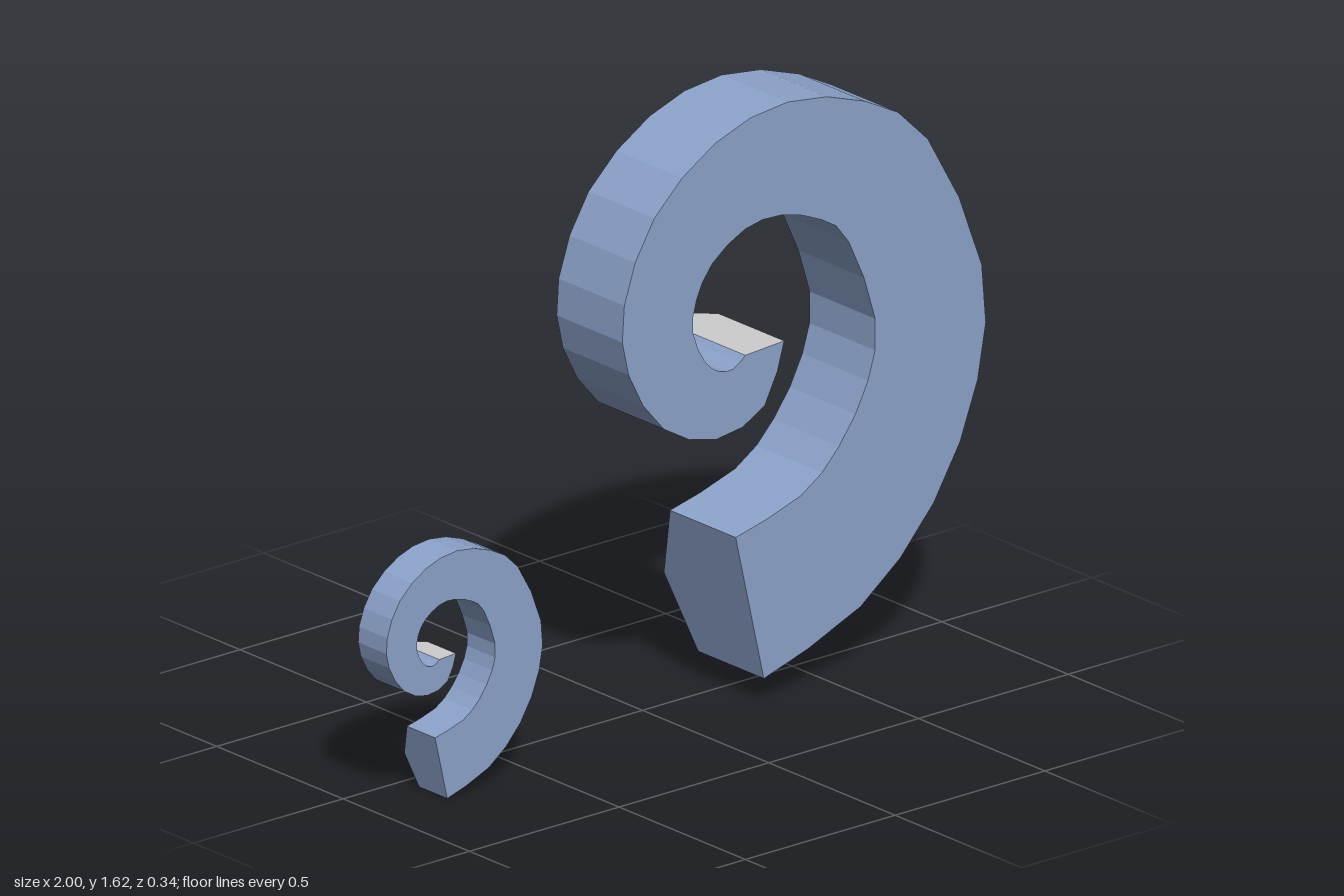
import * as THREE from 'three';

// Paired points along the spiral: outer x, outer y, inner x, inner y
const RAILS = [
  [0.262, 0.072, 0.168, 0.479], [0.585, 0.19, 0.385, 0.54], [0.83, 0.415, 0.513, 0.644],
  [0.976, 0.714, 0.61, 0.80], [0.99, 1.024, 0.634, 0.963], [0.81, 1.41, 0.545, 1.195],
  [0.60, 1.564, 0.457, 1.275], [0.34, 1.624, 0.32, 1.321], [0.10, 1.57, 0.2, 1.312],
  [-0.104, 1.414, 0.09, 1.244], [-0.204, 1.2, 0.037, 1.157], [-0.19, 1.008, 0.026, 1.07],
  [-0.072, 0.832, 0.064, 0.985], [0.104, 0.762, 0.112, 0.945], [0.265, 0.815, 0.16, 0.94],
  [0.33, 0.976, 0.2, 0.968],
];
const FRONT = 0.17, SHOULDER = -0.09, RIDGE = -0.17;
const SEGMENTS = 2 * (RAILS.length - 1);

const blue = new THREE.MeshStandardMaterial({ color: 0x8da3cb, flatShading: true });
const grey = new THREE.MeshStandardMaterial({ color: 0xcccccc, flatShading: true });

// Five-cornered sections: outer front, outer shoulder, ridge, inner shoulder, inner front
function makeRings() {
  const outer = new THREE.SplineCurve(RAILS.map(([x, y]) => new THREE.Vector2(x, y)));
  const inner = new THREE.SplineCurve(RAILS.map(r => new THREE.Vector2(r[2], r[3])));
  const rings = [];
  for (let i = 0; i <= SEGMENTS; i++) {
    const o = outer.getPoint(i / SEGMENTS), n = inner.getPoint(i / SEGMENTS);
    rings.push([
      [o.x, o.y, FRONT], [o.x, o.y, SHOULDER],
      [(o.x + n.x) / 2, (o.y + n.y) / 2, RIDGE],
      [n.x, n.y, SHOULDER], [n.x, n.y, FRONT],
    ]);
  }
  return rings;
}

// Flat mesh from convex polygons, each split into a fan
function polygonMesh(name, polygons, material) {
  const positions = [];
  for (const p of polygons) {
    for (let i = 1; i < p.length - 1; i++) positions.push(...p[0], ...p[i], ...p[i + 1]);
  }
  const geometry = new THREE.BufferGeometry();
  geometry.setAttribute('position', new THREE.Float32BufferAttribute(positions, 3));
  geometry.computeVertexNormals();
  const mesh = new THREE.Mesh(geometry, material);
  mesh.name = name;
  return mesh;
}

// Strip between corner k and the next corner along the whole spiral
function strip(rings, k) {
  const j = (k + 1) % 5, quads = [];
  for (let i = 0; i < SEGMENTS; i++) {
    quads.push([rings[i][k], rings[i][j], rings[i + 1][j], rings[i + 1][k]]);
  }
  return quads;
}

function makeSpiral(name) {
  const rings = makeRings();
  const spiral = new THREE.Group();
  spiral.name = name;
  spiral.add(
    polygonMesh('outerWall', strip(rings, 0), blue),
    polygonMesh('outerBevel', strip(rings, 1), grey),
    polygonMesh('innerBevel', strip(rings, 2), grey),
    polygonMesh('innerWall', strip(rings, 3), blue),
    polygonMesh('frontFace', strip(rings, 4), blue),
    polygonMesh('wideEnd', [[...rings[0]].reverse()], blue),
    polygonMesh('narrowEnd', [rings[SEGMENTS]], grey),
  );
  return spiral;
}

export function createModel() {
  const model = new THREE.Group();
  model.name = 'spiralPair';

  const large = makeSpiral('largeSpiral');

  // Smaller copy, flush with the large one at the front
  const small = makeSpiral('smallSpiral');
  const s = 0.43;
  small.scale.setScalar(s);
  small.position.set(-0.908, -0.031, FRONT * (1 - s));

  model.add(large, small);
  return model;
}
